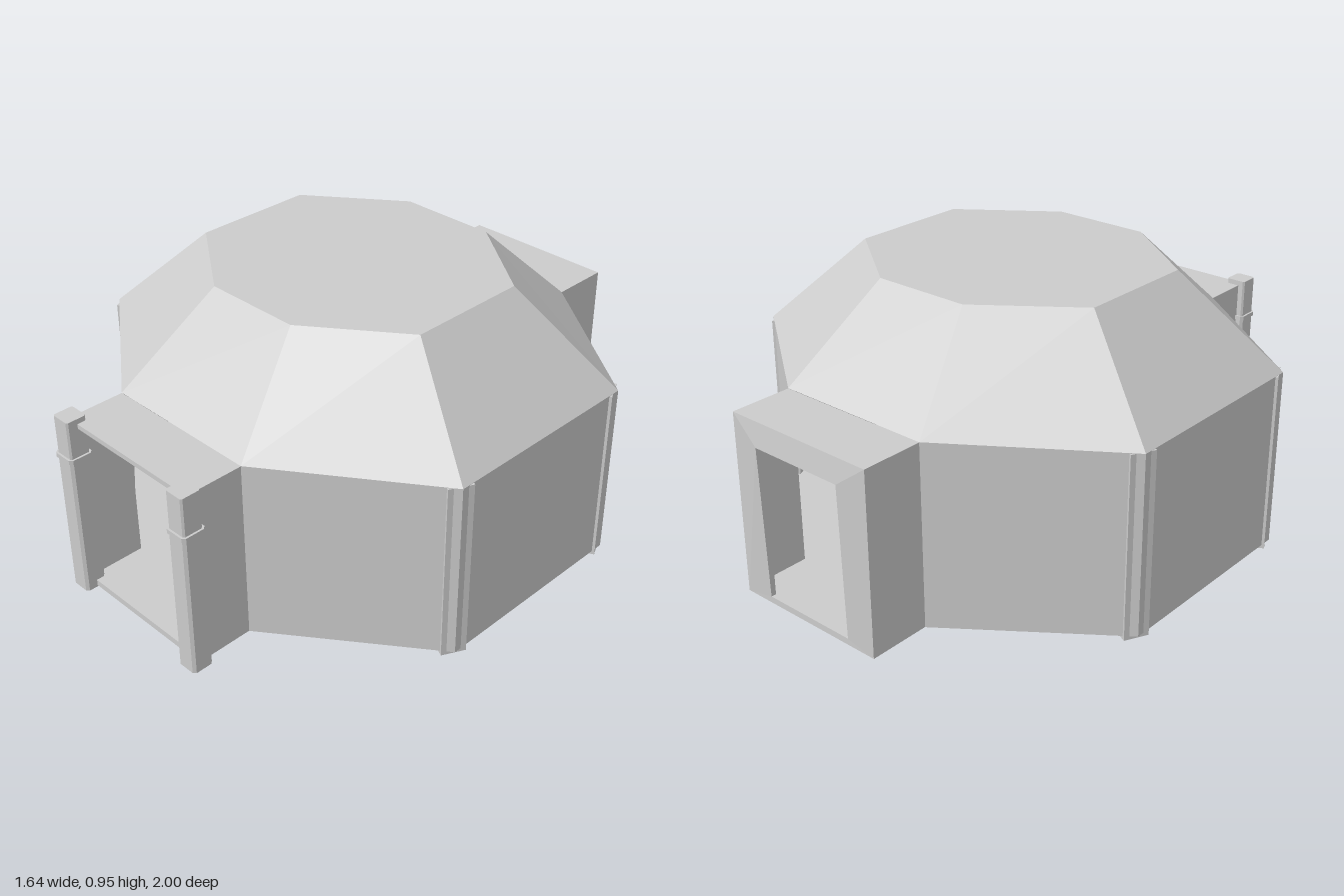
import * as THREE from 'three';

const material = new THREE.MeshStandardMaterial({ color: 0xcccccc, flatShading: true, side: THREE.DoubleSide });

// Corners of the eight-sided plan [x, z], starting at the front, and of the flat roof top
const PLAN = [[-0.285, 0.75], [0.285, 0.75], [0.81, 0.365], [0.81, -0.385],
  [0.285, -0.77], [-0.285, -0.77], [-0.81, -0.385], [-0.81, 0.365]];
const CROWN = [[-0.175, 0.44], [0.175, 0.44], [0.49, 0.21], [0.49, -0.225],
  [0.175, -0.46], [-0.175, -0.46], [-0.49, -0.225], [-0.49, 0.21]];
const FRONT = 0, BACK = 4;

function addMesh(parent, name, geometry) {
  const mesh = new THREE.Mesh(geometry, material);
  mesh.name = name;
  parent.add(mesh);
  return mesh;
}

// Ring of 3D points from plan corners; height may depend on the corner
const ring = (corners, height) => corners.map(([x, z]) => [x, typeof height === 'function' ? height(x) : height, z]);

// Flat-shaded surface made of convex polygons
function surface(polygons) {
  const pos = [];
  for (const p of polygons)
    for (let i = 1; i < p.length - 1; i++) pos.push(...p[0], ...p[i], ...p[i + 1]);
  const g = new THREE.BufferGeometry();
  g.setAttribute('position', new THREE.Float32BufferAttribute(pos, 3));
  g.computeVertexNormals();
  return g;
}

// Side faces between two rings, leaving out the listed sides
function sides(low, high, skip = []) {
  const faces = [];
  low.forEach((a, i) => {
    const j = (i + 1) % low.length;
    if (!skip.includes(i)) faces.push([a, low[j], high[j], high[i]]);
  });
  return faces;
}

function rectangle(target, halfWidth, y0, y1) {
  target.moveTo(-halfWidth, y0);
  target.lineTo(halfWidth, y0);
  target.lineTo(halfWidth, y1);
  target.lineTo(-halfWidth, y1);
  target.closePath();
  return target;
}

// Rectangular frame with a hole, extruded along z
function frame(halfWidth, y0, y1, holeHalf, h0, h1, z0, z1) {
  const shape = rectangle(new THREE.Shape(), halfWidth, y0, y1);
  shape.holes.push(rectangle(new THREE.Path(), holeHalf, h0, h1));
  const g = new THREE.ExtrudeGeometry(shape, { depth: z1 - z0, bevelEnabled: false });
  return g.translate(0, 0, z0);
}

// Upright square post with chamfered edges
function chamferedPost(half, chamfer, y0, y1) {
  const c = half - chamfer;
  const shape = new THREE.Shape([[-c, -half], [c, -half], [half, -c], [half, c],
    [c, half], [-c, half], [-half, c], [-half, -c]].map(([x, y]) => new THREE.Vector2(x, y)));
  const g = new THREE.ExtrudeGeometry(shape, { depth: y1 - y0, bevelEnabled: false });
  return g.rotateX(-Math.PI / 2).translate(0, y0, 0);
}

export function createModel() {
  const model = new THREE.Group();
  model.name = 'octagonalHut';

  // Main shell: walls open towards both porches, sloping roof, floor slab
  const eaveHeight = (x) => (Math.abs(x) > 0.5 ? 0.636 : 0.648);
  const eave = ring(PLAN, eaveHeight);
  const crown = ring(CROWN, 0.953);
  const base = ring(PLAN, 0.012);
  const floorTop = ring(PLAN, 0.035);
  addMesh(model, 'walls', surface(sides(base, eave, [FRONT, BACK])));
  addMesh(model, 'roof', surface([...sides(eave, crown), crown]));
  addMesh(model, 'floor', surface([floorTop, [...base].reverse()]));

  // Porches
  addMesh(model, 'frontPorch', frame(0.285, 0.013, 0.647, 0.265, 0.035, 0.63, 0.75, 0.955));
  addMesh(model, 'backPorch', frame(0.285, 0.013, 0.647, 0.265, 0.035, 0.63, -0.97, -0.77));

  // Back wall with doorway, its outer face swelling slightly above the door
  const doorWall = frame(0.285, 0.013, 0.647, 0.175, 0.035, 0.565, -0.99, -0.97);
  const p = doorWall.attributes.position;
  for (let i = 0; i < p.count; i++)
    if (p.getZ(i) < -0.98) p.setZ(i, p.getY(i) > 0.5 && Math.abs(p.getX(i)) < 0.2 ? -1 : -0.988);
  doorWall.computeVertexNormals();
  addMesh(model, 'backDoorWall', doorWall);

  // Entrance posts with a collar band
  for (const side of [-1, 1]) {
    const post = new THREE.Group();
    post.name = side > 0 ? 'leftEntrancePost' : 'rightEntrancePost';
    post.position.set(side * 0.273, 0, 0.957);
    addMesh(post, 'postShaft', chamferedPost(0.038, 0.009, 0.008, 0.522));
    addMesh(post, 'postCollar', chamferedPost(0.043, 0.01, 0.515, 0.53));
    addMesh(post, 'postTop', chamferedPost(0.036, 0.006, 0.522, 0.665));
    model.add(post);
  }

  // Corner posts set into the outer corners, facing along the corner's bisector
  const turn = THREE.MathUtils.degToRad(27);
  for (const sx of [-1, 1]) {
    for (const sz of [-1, 1]) {
      const z = sz > 0 ? 0.365 : -0.385;
      const inset = 0.012 + 0.0325;
      const post = addMesh(model, 'cornerPost', new THREE.BoxGeometry(0.065, 0.635, 0.084));
      post.position.set(sx * (0.81 - inset * Math.cos(turn)), 0.3175, z - sz * inset * Math.sin(turn));
      post.rotation.y = -sx * sz * turn;
    }
  }
  return model;
}
